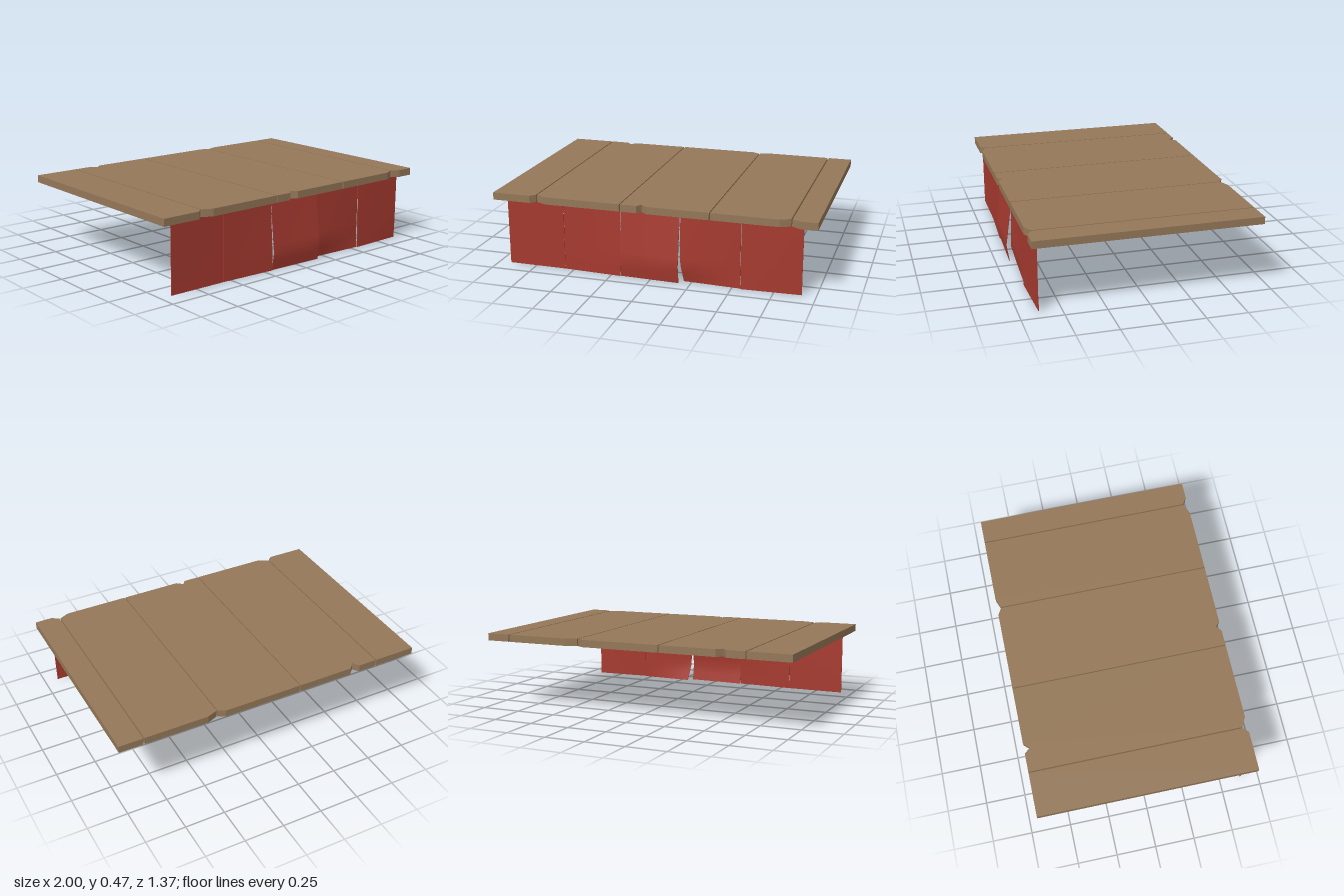
import * as THREE from 'three';

const BACK = -0.685, FRONT = 0.68;
const UNDER = 0.42, THICK = 0.045;

// Worn plank outlines as [x, z], counted round from the back left corner
const planks = [
  [[-1, BACK], [-0.729, BACK], [-0.729, 0.65], [-0.76, FRONT], [-1, FRONT]],
  [[-0.721, BACK], [-0.605, BACK], [-0.575, -0.648], [-0.54, BACK], [-0.184, BACK],
    [-0.184, FRONT], [-0.66, FRONT], [-0.721, 0.65]],
  [[-0.177, BACK], [0.325, BACK], [0.366, -0.66], [0.366, FRONT], [-0.015, FRONT],
    [-0.052, 0.648], [-0.075, FRONT], [-0.177, FRONT]],
  [[0.373, -0.66], [0.44, BACK], [0.841, BACK], [0.841, 0.65], [0.78, FRONT], [0.373, FRONT]],
  [[0.849, BACK], [1, BACK], [1, FRONT], [0.895, FRONT], [0.849, 0.653]],
];

// Cloth strips: x range, then z of the left and right edge at the belly and at the hem
const strips = [
  { x: [-0.925, -0.557], belly: [0.635, 0.637], hem: [0.635, 0.637] },
  { x: [-0.555, -0.192], belly: [0.637, 0.655], hem: [0.637, 0.655] },
  { x: [-0.188, 0.178], belly: [0.668, 0.679], hem: [0.65, 0.662] },
  { x: [0.183, 0.548], belly: [0.65, 0.635], hem: [0.622, 0.638], tuck: 0.018 },
  { x: [0.552, 0.915], belly: [0.642, 0.635], hem: [0.645, 0.632] },
];

function plankGeometry(points) {
  const shape = new THREE.Shape(points.map(([x, z]) => new THREE.Vector2(x, -z)));
  const g = new THREE.ExtrudeGeometry(shape, { depth: THICK, bevelEnabled: false });
  g.rotateX(-Math.PI / 2);
  g.translate(0, UNDER, 0);
  return g;
}

function stripGeometry({ x: [x0, x1], belly, hem, tuck = 0 }) {
  const g = new THREE.BoxGeometry(1, 1, 0.004, 6, 8, 1);
  const p = g.attributes.position;
  const lerp = THREE.MathUtils.lerp;
  const TOP = 0.636, bellyAt = 0.75;
  for (let i = 0; i < p.count; i++) {
    const u = p.getX(i) + 0.5, d = 0.5 - p.getY(i);
    // hang straight at the top, swell to the belly, fall back at the hem
    const b = lerp(belly[0], belly[1], u), h = lerp(hem[0], hem[1], u);
    const z = d < bellyAt ? lerp(TOP, b, d / bellyAt) : lerp(b, h, (d - bellyAt) / (1 - bellyAt));
    const pull = tuck * Math.max(0, (d - 0.65) / 0.35) * (1 - u);
    p.setXYZ(i, lerp(x0, x1, u) + pull, UNDER * (1 - d), z + p.getZ(i));
  }
  g.computeVertexNormals();
  return g;
}

export function createModel() {
  const model = new THREE.Group();
  model.name = 'awning';
  const wood = new THREE.MeshStandardMaterial({ color: 0x947758 });
  const cloth = new THREE.MeshStandardMaterial({ color: 0xa63a2f });

  const add = (name, geometry, material) => {
    const mesh = new THREE.Mesh(geometry, material);
    mesh.name = name;
    model.add(mesh);
  };
  planks.forEach((pts, i) => add(`plank${i + 1}`, plankGeometry(pts), wood));
  strips.forEach((s, i) => add(`clothStrip${i + 1}`, stripGeometry(s), cloth));
  return model;
}
